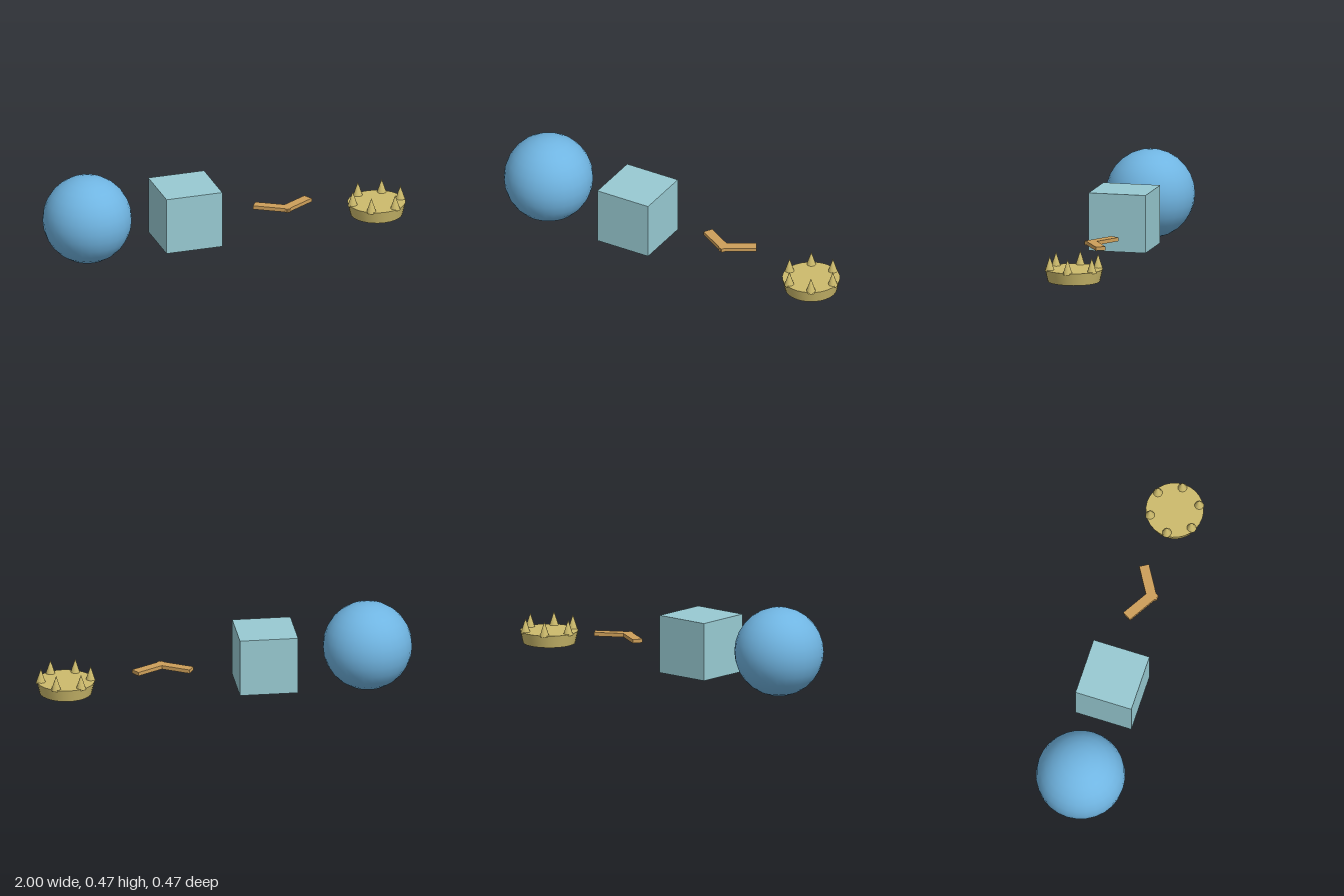
import * as THREE from 'three';

const paint = (name, color) => {
  const m = new THREE.MeshStandardMaterial({ color });
  m.name = name;
  return m;
};

export function createModel() {
  const blue = paint('sky blue', 0x70b5e2);
  const teal = paint('pale teal', 0x98cad2);
  const wood = paint('light wood', 0xcd9f5a);
  const gold = paint('dull gold', 0xcdbb6c);

  const model = new THREE.Group();
  model.name = 'itemSet';
  const add = (parent, name, geometry, material, x, y, z) => {
    const mesh = new THREE.Mesh(geometry, material);
    mesh.name = name;
    mesh.position.set(x, y, z);
    parent.add(mesh);
    return mesh;
  };

  // Ball and cube
  add(model, 'ball', new THREE.SphereGeometry(0.236, 28, 14), blue, -0.764, 0.237, 0);
  add(model, 'cube', new THREE.BoxGeometry(0.309, 0.309, 0.309), teal, -0.22, 0.202, 0);

  // Boomerang: two crossed arms meeting at the front
  const boomerang = new THREE.Group();
  boomerang.name = 'boomerang';
  boomerang.position.set(0.328, 0.165, 0);
  model.add(boomerang);
  for (const side of [-1, 1]) {
    const arm = add(boomerang, side < 0 ? 'rightArm' : 'leftArm',
      new THREE.BoxGeometry(0.2, 0.02, 0.053), wood, side * 0.0635, 0, 0);
    arm.rotation.y = side * 0.54;
  }

  // Spiked disc: flared base with six cones around the rim
  const trap = new THREE.Group();
  trap.name = 'spikedDisc';
  trap.position.set(0.84, 0, 0);
  model.add(trap);
  add(trap, 'base', new THREE.CylinderGeometry(0.153, 0.138, 0.066, 28), gold, 0, 0.088, 0);
  const cone = new THREE.ConeGeometry(0.027, 0.081, 10);
  for (let i = 0; i < 6; i++) {
    const a = i * Math.PI / 3;
    add(trap, 'spike' + (i + 1), cone, gold, 0.132 * Math.cos(a), 0.1545, 0.132 * Math.sin(a));
  }

  return model;
}
